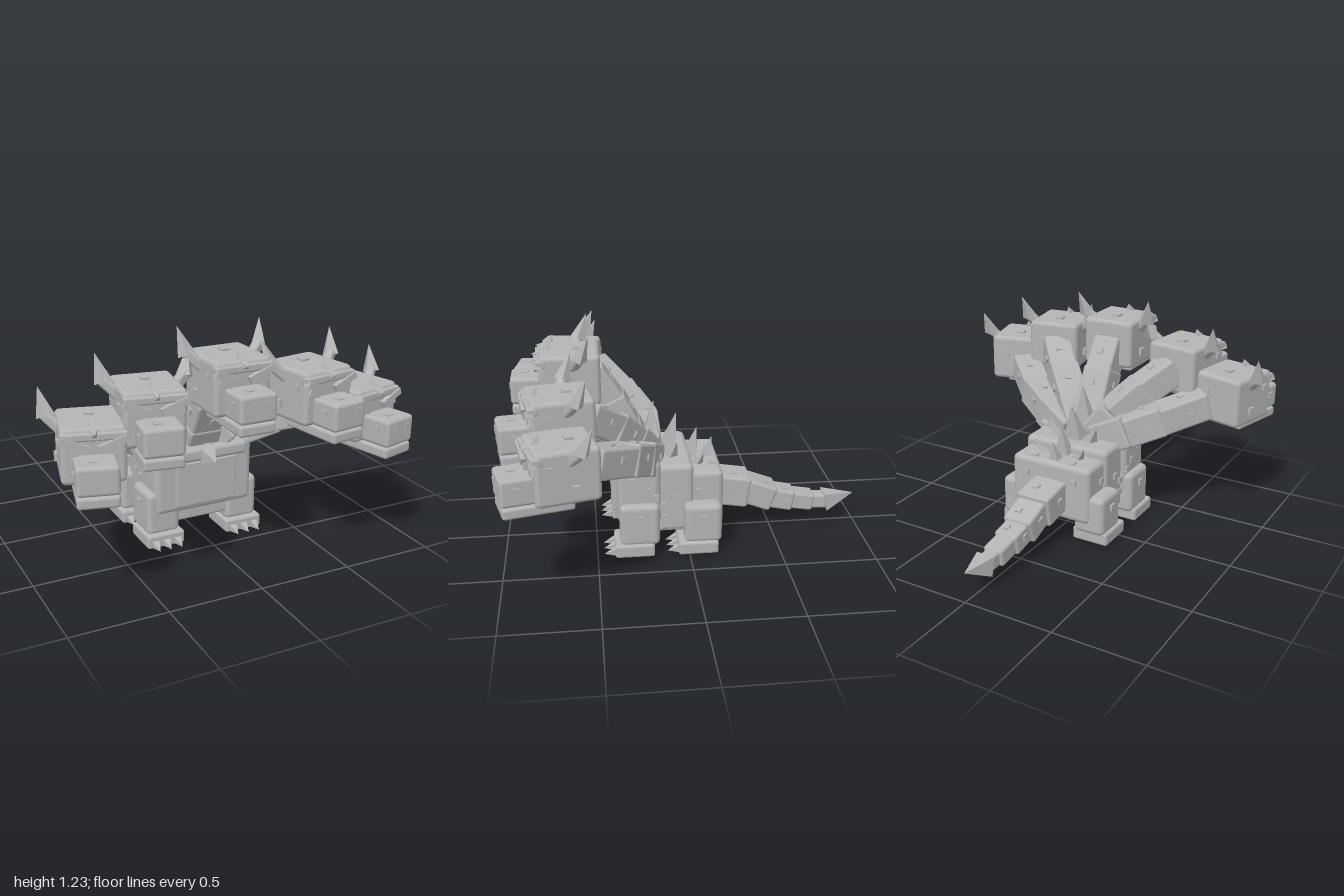
import * as THREE from 'three';
import { RoundedBoxGeometry } from 'three/addons/geometries/RoundedBoxGeometry.js';

const hide = new THREE.MeshStandardMaterial({ color: 0xb4b4b4 });
hide.name = 'grey hide';
const V = (a) => new THREE.Vector3(...a);

function add(parent, name, geometry) {
  const mesh = new THREE.Mesh(geometry, hide);
  mesh.name = name;
  parent.add(mesh);
  return mesh;
}

// Rounded block given by its min and max corners
function block(parent, name, min, max, radius = 0.02) {
  const size = max.map((v, i) => v - min[i]);
  const mesh = add(parent, name, new RoundedBoxGeometry(...size, 2, Math.min(radius, Math.min(...size) * 0.45)));
  mesh.position.set(...max.map((v, i) => (v + min[i]) / 2));
  return mesh;
}

// Rounded segment running between two points
function segment(parent, name, from, to, w, h, extra = 0.03) {
  const a = V(from), b = V(to);
  const mesh = add(parent, name, new RoundedBoxGeometry(w, h, a.distanceTo(b) + extra, 2, 0.016));
  mesh.position.copy(a).lerp(b, 0.5);
  mesh.lookAt(b);
  return mesh;
}

// Four-sided pyramid from a base centre to an apex
function spike(parent, name, base, apex, w, h = w) {
  const a = V(base), b = V(apex), length = a.distanceTo(b);
  const geo = new THREE.ConeGeometry(Math.SQRT1_2, length, 4).rotateY(Math.PI / 4);
  geo.translate(0, length / 2, 0).rotateX(Math.PI / 2).scale(w, h, 1);
  const flat = geo.toNonIndexed();
  flat.computeVertexNormals();
  const mesh = add(parent, name, flat);
  mesh.lookAt(b.sub(a));
  mesh.position.copy(a);
  return mesh;
}

// Small square scale sitting on a surface
function scale(parent, x, y, z, s = 0.034) {
  const mesh = add(parent, 'scale', new THREE.BoxGeometry(s, s, s));
  mesh.position.set(x, y, z);
  return mesh;
}

function makeHead(position, yaw) {
  const head = new THREE.Group();
  head.name = 'head';
  block(head, 'skull', [-0.153, -0.14, -0.16], [0.153, 0.135, 0.16], 0.025);
  block(head, 'muzzle', [-0.1, -0.135, 0.1], [0.1, 0.008, 0.315]);
  block(head, 'jaw', [-0.098, -0.195, -0.04], [0.098, -0.138, 0.31], 0.015);
  block(head, 'browRidge', [-0.155, 0.075, 0.12], [0.155, 0.115, 0.175], 0.01);
  spike(head, 'browSpike', [0, 0.1, 0.13], [0, 0.175, 0.105], 0.07, 0.07);
  spike(head, 'foreheadSpike', [0, 0.1, 0.14], [0, 0.115, 0.2], 0.06, 0.06);
  for (const s of [-1, 1]) {
    // Slanted brow above a wedge-shaped eye
    const brow = add(head, 'brow', new THREE.BoxGeometry(0.14, 0.034, 0.04));
    brow.position.set(s * 0.09, 0.062, 0.165);
    brow.rotation.z = s * 0.38;
    const eye = add(head, 'eye', new THREE.BoxGeometry(0.07, 0.035, 0.02));
    eye.position.set(s * 0.1, 0.03, 0.16);
    eye.rotation.z = s * 0.38;
    // Horn: thick arm, then a tip bending upward
    const elbow = [s * 0.205, 0.145, -0.055];
    const arm = segment(head, 'hornArm', [s * 0.11, 0.055, -0.01], elbow, 0.052, 0.055, 0.01);
    arm.material = hide;
    spike(head, 'hornTip', [s * 0.198, 0.13, -0.05], [s * 0.228, 0.265, -0.1], 0.07, 0.06);
    scale(head, s * 0.045, -0.043, 0.305, 0.03).name = 'nostril';
    scale(head, s * 0.148, -0.06, -0.03, 0.04);
    scale(head, s * 0.147, 0.05, 0.09, 0.034);
    scale(head, s * 0.095, -0.05, 0.24, 0.03);
  }
  scale(head, 0.0, 0.123, -0.04, 0.045);
  scale(head, -0.015, -0.005, 0.24, 0.038);
  scale(head, 0.06, 0.03, -0.15, 0.036);
  head.position.set(...position);
  head.rotation.y = yaw;
  return head;
}

function makeNeck(points) {
  const neck = new THREE.Group();
  neck.name = 'neck';
  for (let i = 0; i < points.length - 1; i++) {
    const w = 0.185 - i * 0.012;
    const part = segment(neck, 'neckSegment', points[i], points[i + 1], w, w);
    scale(part, 0.01, w / 2 - 0.009, 0.01);
    scale(part, w / 2 - 0.009, 0.02, -0.02);
    scale(part, -w / 2 + 0.009, -0.01, 0.02);
    scale(part, 0.02, -w / 2 + 0.009, -0.01);
  }
  return neck;
}

function makeLeg(side, zBack, zFront, top, footBack, footFront) {
  const leg = new THREE.Group();
  leg.name = 'leg';
  const box = (name, x0, x1, y0, y1, z0, z1, r) =>
    block(leg, name, [Math.min(side * x0, side * x1), y0, z0], [Math.max(side * x0, side * x1), y1, z1], r);
  box('upperLeg', 0.14, 0.325, 0.06, top, zBack, zFront, 0.03);
  box('foot', 0.125, 0.34, 0, 0.075, footBack, footFront, 0.015);
  for (let i = -1; i <= 1; i++) {
    const x = side * 0.232 + i * 0.064;
    spike(leg, 'claw', [x, 0.028, footFront - 0.015], [x, 0.012, footFront + 0.06], 0.048, 0.045);
  }
  scale(leg, side * 0.32, top - 0.075, (zBack + zFront) / 2);
  return leg;
}

export function createModel() {
  const model = new THREE.Group();
  model.name = 'manyHeadedDragon';

  // Body
  block(model, 'chest', [-0.285, 0.17, 0.15], [0.285, 0.535, 0.385], 0.035);
  block(model, 'belly', [-0.26, 0.11, -0.03], [0.26, 0.5, 0.17], 0.03);
  block(model, 'bellyUnderside', [-0.255, 0.11, -0.1], [0.255, 0.22, 0.36], 0.015);
  block(model, 'hips', [-0.245, 0.12, -0.195], [0.245, 0.45, 0], 0.03);
  block(model, 'chestPlate', [-0.175, 0.21, 0.36], [0.175, 0.457, 0.41], 0.01);
  block(model, 'collar', [-0.237, 0.457, 0.3], [0.237, 0.53, 0.42], 0.022);
  spike(model, 'collarSpike', [0, 0.487, 0.41], [0, 0.475, 0.508], 0.085, 0.085);

  // Legs
  for (const s of [-1, 1]) {
    model.add(makeLeg(s, 0.16, 0.375, 0.3, 0.19, 0.405));
    model.add(makeLeg(s, -0.18, 0.025, 0.285, -0.16, 0.06));
    for (const [y, z] of [[0.37, 0.23], [0.33, 0.18], [0.25, 0.3], [0.43, 0.31]]) scale(model, s * 0.277, y, z);
    for (const [y, z] of [[0.32, 0.075], [0.27, 0.14], [0.2, 0.13]]) scale(model, s * 0.252, y, z);
    scale(model, s * 0.237, 0.34, -0.055);
    scale(model, s * 0.12, 0.442, -0.15);
    scale(model, s * 0.15, 0.36, -0.187);
  }

  // Back spikes: a tall middle row and smaller leaning side rows
  for (const [z, y, tipZ, tipY, w, l] of [
    [0.2, 0.52, 0.165, 0.79, 0.13, 0.09], [0.09, 0.49, 0.04, 0.71, 0.115, 0.09],
    [-0.035, 0.44, -0.075, 0.62, 0.09, 0.075], [-0.13, 0.44, -0.16, 0.56, 0.06, 0.06]])
    spike(model, 'backSpike', [0, y, z], [0, tipY, tipZ], w, l);
  for (const s of [-1, 1])
    for (const [x, y, z, h, w] of [[0.08, 0.52, 0.2, 0.1, 0.06], [0.095, 0.485, 0.085, 0.11, 0.07],
      [0.1, 0.435, -0.06, 0.09, 0.055]])
      spike(model, 'sideSpike', [s * x, y, z], [s * (x + 0.06), y + h, z - 0.035], w);

  // Tail
  const tail = [[0.265, -0.17, 0.2, 0.175], [0.235, -0.36, 0.17, 0.145], [0.18, -0.505, 0.138, 0.118],
    [0.155, -0.625, 0.115, 0.1], [0.135, -0.745, 0.082, 0.085], [0.13, -0.83, 0, 0]];
  for (let i = 0; i < tail.length - 1; i++) {
    const [y, z, w, h] = tail[i], [y2, z2] = tail[i + 1];
    const part = segment(model, 'tailSegment', [0, y, z], [0, y2, z2], w, h, 0.015);
    if (i > 2) continue;
    scale(part, -0.025, h / 2 - 0.009, 0.01);
    scale(part, w / 2 - 0.009, 0.01, -0.01);
    scale(part, -w / 2 + 0.009, -0.01, 0.02);
    scale(part, 0.02, -h / 2 + 0.009, 0);
  }
  spike(model, 'tailTip', [0, 0.13, -0.825], [0, 0.165, -0.998], 0.106);

  // Middle neck and head
  model.add(makeNeck([[0, 0.5, 0.25], [0, 0.64, 0.32], [0, 0.8, 0.4], [0, 0.95, 0.5]]));
  model.add(makeHead([0, 0.96, 0.61], 0));

  // Paired necks and heads; the left side reaches further forward
  for (const s of [-1, 1]) {
    const f = s > 0 ? 0 : -0.055;
    model.add(makeNeck([[s * 0.06, 0.5, 0.23], [s * 0.16, 0.62, 0.31 + f], [s * 0.28, 0.75, 0.41 + f], [s * 0.4, 0.86, 0.54 + f]]));
    model.add(makeNeck([[s * 0.1, 0.48, 0.21], [s * 0.27, 0.56, 0.27 + f], [s * 0.43, 0.63, 0.35 + f], [s * 0.61, 0.7, 0.52 + f]]));
    model.add(makeHead([s * 0.43, 0.87, 0.665 + f], s * 0.16));
    model.add(makeHead([s * 0.72, 0.738, 0.662 + f], s * 0.25));
  }
  return model;
}
